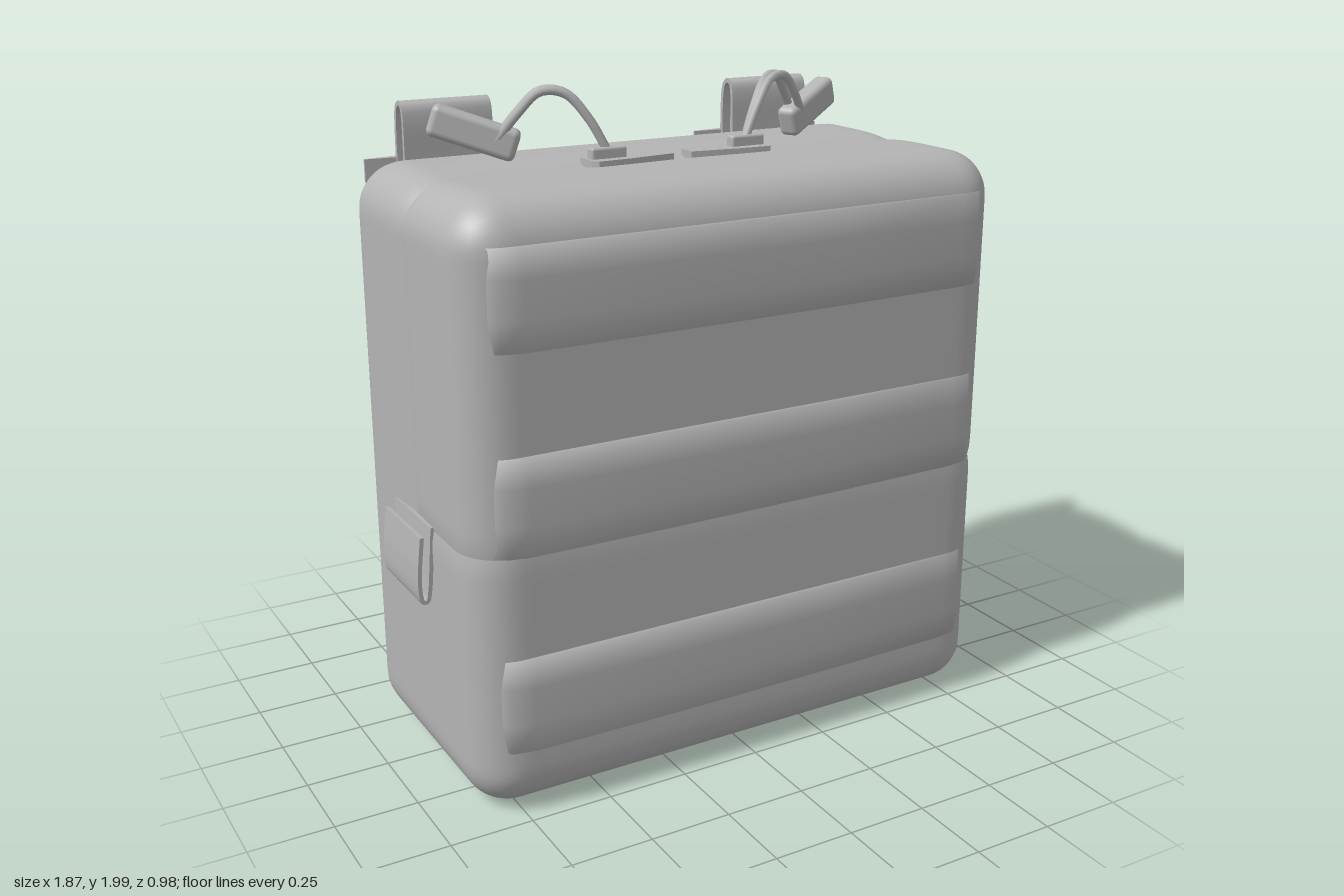
import * as THREE from 'three';
import { mergeVertices, toCreasedNormals } from 'three/addons/utils/BufferGeometryUtils.js';
import { RoundedBoxGeometry } from 'three/addons/geometries/RoundedBoxGeometry.js';

const grey = new THREE.MeshStandardMaterial({ color: 0xb4b4b4 });
grey.name = 'grey fabric';

const SEAM_Z = 0.02, SEAM_Y = 0.8;
const LOW = new THREE.Vector3(-0.885, 0.005, -0.412);
const HIGH = new THREE.Vector3(0.885, 1.775, 0.465);
const RADIUS = 0.14;

function add(parent, name, geometry, x = 0, y = 0, z = 0) {
  const mesh = new THREE.Mesh(geometry, grey);
  mesh.name = name;
  mesh.position.set(x, y, z);
  parent.add(mesh);
  return mesh;
}

// One section of the rounded bag, pinched inwards along the zip seams
function bodySection(min, max) {
  const size = max.clone().sub(min);
  const seg = v => Math.ceil(v / 0.03);
  let g = new THREE.BoxGeometry(size.x, size.y, size.z, seg(size.x), seg(size.y), seg(size.z));
  g.translate(...min.clone().add(max).multiplyScalar(0.5).toArray());
  g.deleteAttribute('uv');
  g.deleteAttribute('normal');
  g = mergeVertices(g, 1e-4);
  const innerLow = LOW.clone().addScalar(RADIUS), innerHigh = HIGH.clone().addScalar(-RADIUS);
  const pos = g.attributes.position, p = new THREE.Vector3();
  const bell = (t, w) => Math.exp(-((t / w) ** 2));
  for (let i = 0; i < pos.count; i++) {
    p.fromBufferAttribute(pos, i);
    const c = p.clone().clamp(innerLow, innerHigh), d = p.clone().sub(c);
    const reach = Math.max(Math.abs(d.x), Math.abs(d.y), Math.abs(d.z));
    if (reach > 0) p.copy(c).addScaledVector(d.normalize(), reach);
    const dz = p.z - SEAM_Z, dy = p.y - SEAM_Y;
    if (p.y >= SEAM_Y - 1e-4) {
      const pinch = 0.008 * bell(dz, 0.09) + 0.008 * bell(dz, 0.02);
      p.x *= 1 - pinch;
      p.y -= pinch * Math.max(0, dy);
    }
    if (p.z > SEAM_Z + 0.001) {
      const pinch = 0.007 * bell(dy, 0.025);
      p.x *= 1 - pinch;
      p.z *= 1 - pinch;
    }
    pos.setXYZ(i, p.x, p.y, p.z);
  }
  return toCreasedNormals(g, 0.7);
}

// Padded webbing following a plan path of [x, z], soft along both edges
function band(path, y0, y1) {
  const rows = [[0, 0.05], [0, 0.004], [0.3, 0], [0.7, 0], [1, 0.004], [1, 0.05]];
  const verts = [], index = [], n = rows.length;
  for (const [x, z] of path)
    for (const [t, inset] of rows) verts.push(x, y0 + (y1 - y0) * t, z - inset);
  for (let i = 0; i < path.length - 1; i++)
    for (let j = 0; j < n - 1; j++) {
      const a = i * n + j, b = a + n;
      index.push(a, b, b + 1, a, b + 1, a + 1);
    }
  const g = new THREE.BufferGeometry();
  g.setAttribute('position', new THREE.Float32BufferAttribute(verts, 3));
  g.setIndex(index);
  g.computeVertexNormals();
  return g;
}

const mirrored = half => [
  ...half.map(([x, z]) => [-x, z]),
  ...half.slice().reverse().map(([x, z]) => [x, z]),
];

// Flat strip of even thickness along a 2D path, extruded to its width
function ribbon(points, thickness, width) {
  const curve = new THREE.CatmullRomCurve3(points.map(([a, b]) => new THREE.Vector3(a, b, 0)));
  const one = [], two = [], N = 40;
  for (let i = 0; i <= N; i++) {
    const p = curve.getPoint(i / N), t = curve.getTangent(i / N).multiplyScalar(thickness / 2);
    one.push(new THREE.Vector2(p.x - t.y, p.y + t.x));
    two.unshift(new THREE.Vector2(p.x + t.y, p.y - t.x));
  }
  return extrude([...one, ...two], width);
}

function extrude(points, depth) {
  const g = new THREE.ExtrudeGeometry(new THREE.Shape(points), { depth, bevelEnabled: false });
  g.translate(0, 0, -depth / 2);
  return toCreasedNormals(g, 0.6);
}

// Zip slider, cord loop and grip; s is the side
function zipPull(s) {
  const pull = new THREE.Group();
  pull.name = s > 0 ? 'leftZipPull' : 'rightZipPull';
  const wedge = [[0.03, 0.03], [0.19, 0.05], [0.29, 0.055], [0.305, 0.035]];
  const outline = [...wedge, ...wedge.slice().reverse().map(([x, w]) => [x, -w])];
  const plate = extrude(outline.map(([x, w]) => new THREE.Vector2(x * s, w)), 0.025);
  add(pull, 'sliderPlate', plate.rotateX(-Math.PI / 2), 0, 1.773, SEAM_Z);
  add(pull, 'sliderBridge', new RoundedBoxGeometry(0.115, 0.05, 0.036, 2, 0.008), 0.237 * s, 1.793, SEAM_Z);
  const path = [[0.235, 1.805, 0.02], [0.285, 1.9, 0], [0.345, 1.972, -0.03],
    [0.41, 1.978, -0.06], [0.465, 1.92, -0.09], [0.52, 1.84, -0.125]];
  for (const side of [-1, 1]) {
    const pts = path.map(([x, y, z], i) => {
      const spread = side * 0.005 * Math.min(i, 4);
      return new THREE.Vector3((x + spread * 0.4) * s, y, z + spread * 0.9);
    });
    add(pull, 'cord', new THREE.TubeGeometry(new THREE.CatmullRomCurve3(pts), 24, 0.014, 8));
  }
  const from = new THREE.Vector3(0.465 * s, 1.818, -0.1), to = new THREE.Vector3(0.69 * s, 1.903, -0.207);
  const ax = to.clone().sub(from).normalize();
  const az = ax.clone().cross(new THREE.Vector3(0, 1, 0)).normalize();
  const ay = az.clone().cross(ax);
  const grip = add(pull, 'grip', new RoundedBoxGeometry(from.distanceTo(to), 0.095, 0.068, 3, 0.02));
  grip.quaternion.setFromRotationMatrix(new THREE.Matrix4().makeBasis(ax, ay, az));
  grip.position.copy(from).add(to).multiplyScalar(0.5);
  return pull;
}

// Back attachment strap with toggle bar and snap
function backStrap(s) {
  const strap = new THREE.Group();
  strap.name = s > 0 ? 'leftBackStrap' : 'rightBackStrap';
  strap.position.x = 0.57 * s;
  const path = [[-0.37, 1.66], [-0.37, 1.78], [-0.371, 1.88], [-0.38, 1.915], [-0.4, 1.925],
    [-0.42, 1.91], [-0.43, 1.86], [-0.432, 1.65], [-0.425, 1.3], [-0.424, 0.7], [-0.424, 0.25], [-0.412, 0.14]];
  add(strap, 'webbing', ribbon(path, 0.014, 0.285).rotateY(-Math.PI / 2));
  const lens = [[-0.24, 0.004], [-0.14, 0.016], [0.14, 0.016], [0.24, 0.004],
    [0.24, -0.004], [0.14, -0.012], [-0.14, -0.012], [-0.24, -0.004]];
  const bar = extrude(lens.map(([x, z]) => new THREE.Vector2(x, z)), 0.07);
  add(strap, 'toggleBar', bar.rotateX(-Math.PI / 2), 0, 1.725, -0.446);
  add(strap, 'snapTab', new RoundedBoxGeometry(0.29, 0.3, 0.035, 2, 0.01), 0, 0.47, -0.443);
  const profile = [[0, 0.012], [0.02, 0.012], [0.024, 0.028], [0.045, 0.028], [0.07, 0.014], [0.072, 0]];
  const knob = new THREE.LatheGeometry(profile.reverse().map(([r, h]) => new THREE.Vector2(r, h)), 28);
  add(strap, 'snap', toCreasedNormals(knob, 0.5).rotateX(-Math.PI / 2), 0, 0.47, -0.46);
  return strap;
}

export function createModel() {
  const model = new THREE.Group();
  model.name = 'pouch';
  const V = (x, y, z) => new THREE.Vector3(x, y, z);

  // Main bag: base, rear half and opening front flap
  add(model, 'base', bodySection(LOW, V(HIGH.x, SEAM_Y, HIGH.z)));
  add(model, 'rearHalf', bodySection(V(LOW.x, SEAM_Y, LOW.z), V(HIGH.x, HIGH.y, SEAM_Z)));
  add(model, 'frontFlap', bodySection(V(LOW.x, SEAM_Y, SEAM_Z), HIGH));

  // Front webbing
  const frontPath = mirrored([[0.832, 0.415], [0.815, 0.445], [0.785, 0.468], [0.72, 0.482], [0.3, 0.488]]);
  for (const [y0, y1] of [[0.21, 0.495], [0.803, 1.09], [1.38, 1.662]])
    add(model, 'frontBand', band(frontPath, y0, y1));

  // Back webbing, bulging over the straps
  const backPath = mirrored([[0.83, 0.36], [0.81, 0.4], [0.77, 0.425], [0.72, 0.448], [0.57, 0.456],
    [0.43, 0.45], [0.36, 0.432], [0.2, 0.43]]);
  for (let i = 0; i < 3; i++)
    add(model, 'backBand', band(backPath, 0.6 + i * 0.28, 0.88 + i * 0.28)).rotation.y = Math.PI;

  // Paired fittings
  for (const s of [-1, 1]) {
    model.add(zipPull(s), backStrap(s));
    const hook = [[0.882, 0.81], [0.889, 0.72], [0.898, 0.62], [0.906, 0.588], [0.918, 0.586],
      [0.926, 0.61], [0.926, 0.68], [0.915, 0.785]];
    add(model, s > 0 ? 'leftSideTab' : 'rightSideTab',
      ribbon(hook.map(([x, y]) => [x * s, y]), 0.012, 0.28), 0, 0, 0.025);
  }
  return model;
}
